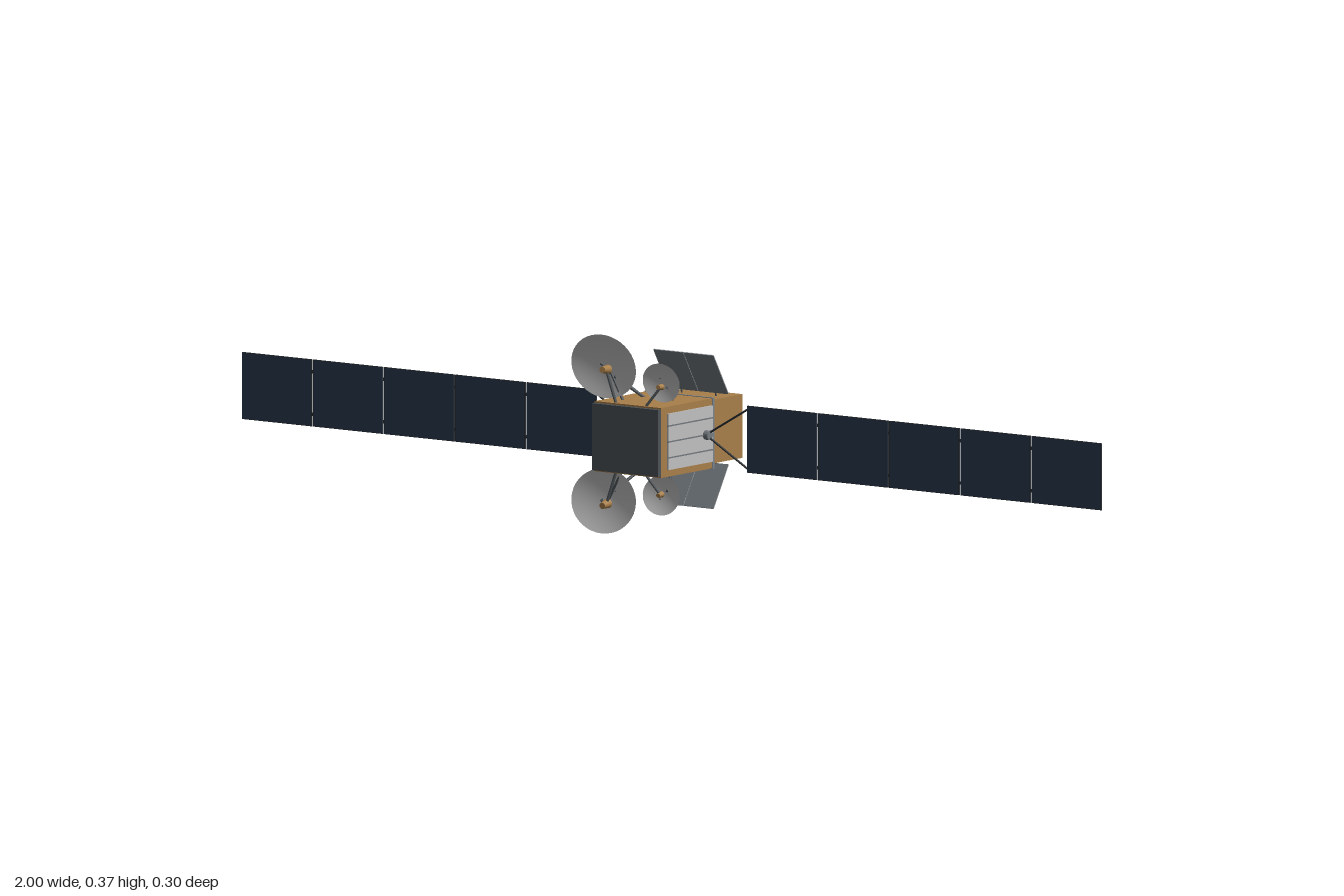
import * as THREE from 'three';

const mat = (name, color, side = THREE.FrontSide) => {
  const m = new THREE.MeshStandardMaterial({ color, side });
  m.name = name;
  return m;
};

export function createModel() {
  const gold = mat('goldFoil', 0xa87f4a);
  const navy = mat('solarCells', 0x2a3b50);
  const grey = mat('panelBackGrey', 0x72797e);
  const dark = mat('darkGrey', 0x4c5358);
  const white = mat('radiatorWhite', 0xc0c0c1);
  const dishMat = mat('dishGrey', 0xbebebe, THREE.DoubleSide);
  const black = mat('trimBlack', 0x2a2e32);
  const steel = mat('ringSteel', 0x7b848c, THREE.DoubleSide);

  const CY = 0.19; // height of the centre line
  const root = new THREE.Group();
  root.name = 'satellite';

  const add = (name, geo, m, x = 0, y = 0, z = 0, parent = root) => {
    const mesh = new THREE.Mesh(geo, m);
    mesh.name = name;
    mesh.position.set(x, y, z);
    parent.add(mesh);
    return mesh;
  };
  const box = (name, w, h, d, m, x, y, z, parent) =>
    add(name, new THREE.BoxGeometry(w, h, d), m, x, y, z, parent);
  // Tapered rod from point a (radius ra) to point b (radius rb)
  const rod = (name, a, b, ra, rb, m, sides = 8) => {
    const p = new THREE.Vector3(...a), q = new THREE.Vector3(...b);
    const dir = q.clone().sub(p);
    const mid = p.clone().add(q).multiplyScalar(0.5);
    const mesh = add(name, new THREE.CylinderGeometry(rb, ra, dir.length(), sides), m, mid.x, mid.y, mid.z);
    mesh.quaternion.setFromUnitVectors(new THREE.Vector3(0, 1, 0), dir.normalize());
    return mesh;
  };

  // Main body, front plate, flange and rear module
  box('mainBody', 0.154, 0.132, 0.162, gold, 0, CY, 0.057);
  box('frontPlate', 0.154, 0.126, 0.009, dark, 0, CY, 0.1425);
  box('flange', 0.158, 0.134, 0.006, steel, 0, CY, -0.024);
  box('rearModule', 0.13, 0.12, 0.108, gold, 0, CY, -0.079);

  // Docking ring on the back
  const ringProfile = [[0.047, 0], [0.051, 0.002], [0.051, 0.013], [0.048, 0.015],
    [0.037, 0.015], [0.035, 0.013], [0.035, 0]].map(p => new THREE.Vector2(...p));
  add('rearRing', new THREE.LatheGeometry(ringProfile, 40), steel, 0, CY, -0.133).rotation.x = -Math.PI / 2;
  rod('rearRingInner', [0, CY, -0.133], [0, CY, -0.137], 0.026, 0.022, gold, 32);

  for (const s of [1, -1]) {
    // Side radiators with seams
    box('sideRadiator', 0.003, 0.106, 0.139, white, s * 0.0785, CY, 0.0495);
    for (const dy of [-0.03, 0, 0.03])
      box('radiatorSeam', 0.002, 0.0025, 0.139, grey, s * 0.0798, CY + dy, 0.0495);

    // Wing hub and spreader arms
    rod('wingHub', [s * 0.078, CY, 0.002], [s * 0.09, CY, 0.002], 0.009, 0.009, grey, 20);
    for (const v of [1, -1])
      rod('wingArm', [s * 0.086, CY + v * 0.004, 0], [s * 0.176, CY + v * 0.056, 0], 0.002, 0.002, black, 6);

    // Solar wing: five panels, cells in front, grey behind
    const wing = new THREE.Group();
    wing.name = s > 0 ? 'leftSolarWing' : 'rightSolarWing';
    root.add(wing);
    const pitch = 0.1653, pw = 0.160;
    for (let i = 0; i < 5; i++) {
      const x = s * (0.1755 + pitch * i + pw / 2 + 0.001);
      box('panelEdge', pw + 0.002, 0.126, 0.003, black, x, CY, 0, wing);
      box('solarCells', pw, 0.124, 0.0008, navy, x, CY, 0.0017, wing);
      box('panelBack', pw, 0.124, 0.0008, grey, x, CY, -0.0017, wing);
      for (const v of [1, -1]) {
        for (let k = 0; k < 9; k++)
          box('backDash', 0.008, 0.0018, 0.0006, black, x + (k - 4) * 0.0172, CY + v * 0.046, -0.0023, wing);
        if (i < 4) box('panelHinge', 0.008, 0.006, 0.0024, black, x + s * pitch / 2, CY + v * 0.04, 0, wing);
      }
    }
  }

  // Shallow elliptical dish facing forward, tilted toward its feed
  const dish = (name, x, y, rx, ry, depth, z, s) => {
    const pts = [];
    for (let i = 0; i <= 8; i++) pts.push(new THREE.Vector2(i / 8, depth * (i / 8) ** 2));
    const d = add(name, new THREE.LatheGeometry(pts, 40), dishMat, x, y, z);
    d.scale.set(rx, 1, ry);
    d.rotation.x = Math.PI / 2 + s * 0.11;
  };

  for (const s of [1, -1]) {
    const Y = d => CY + s * d; // mirrored above and below the centre line

    // Large dish with its struts and feed
    dish('largeDish', -0.083, Y(0.128), 0.075, 0.061, 0.012, 0.09, s);
    for (const [x, d] of [[-0.098, 0.13], [-0.066, 0.108]])
      rod('largeDishStrut', [-0.035, Y(0.064), 0.038], [x, Y(d), 0.091], 0.0026, 0.0026, dark);
    rod('largeDishPost', [-0.045, Y(0.064), 0.092], [-0.08, Y(0.125), 0.09], 0.0026, 0.0026, dark);
    rod('largeFeedArm', [-0.033, Y(0.064), 0.13], [-0.052, Y(0.125), 0.134], 0.0028, 0.0028, dark);
    rod('largeFeedHorn', [-0.052, Y(0.128), 0.148], [-0.055, Y(0.126), 0.126], 0.006, 0.009, gold, 16);

    // Small dish with its struts and feed
    dish('smallDish', 0.048, Y(0.107), 0.043, 0.037, 0.008, 0.09, s);
    for (const [x, d] of [[0.04, 0.115], [0.056, 0.098]])
      rod('smallDishStrut', [0.03, Y(0.064), 0.038], [x, Y(d), 0.091], 0.0024, 0.0024, dark);
    rod('smallFeedArm', [0.035, Y(0.064), 0.129], [0.06, Y(0.1), 0.118], 0.0026, 0.0026, dark);
    rod('smallFeedHorn', [0.06, Y(0.102), 0.124], [0.059, Y(0.101), 0.111], 0.0042, 0.006, gold, 16);

    // Tilted rear radiator in two halves
    const flap = new THREE.Group();
    flap.name = 'rearRadiator';
    flap.position.set(0, Y(0.1055), -0.0595);
    flap.rotation.x = s * Math.atan2(0.047, 0.078);
    root.add(flap);
    for (const h of [1, -1]) {
      box('radiatorOuter', 0.069, 0.091, 0.0012, white, h * 0.0352, 0, -0.0006, flap);
      box('radiatorInner', 0.069, 0.091, 0.0012, grey, h * 0.0352, 0, 0.0006, flap);
      rod('radiatorBracket', [h * 0.04, Y(0.059), -0.084], [h * 0.04, Y(0.068), -0.0825], 0.0015, 0.0015, dark, 6);
    }
  }
  return root;
}
